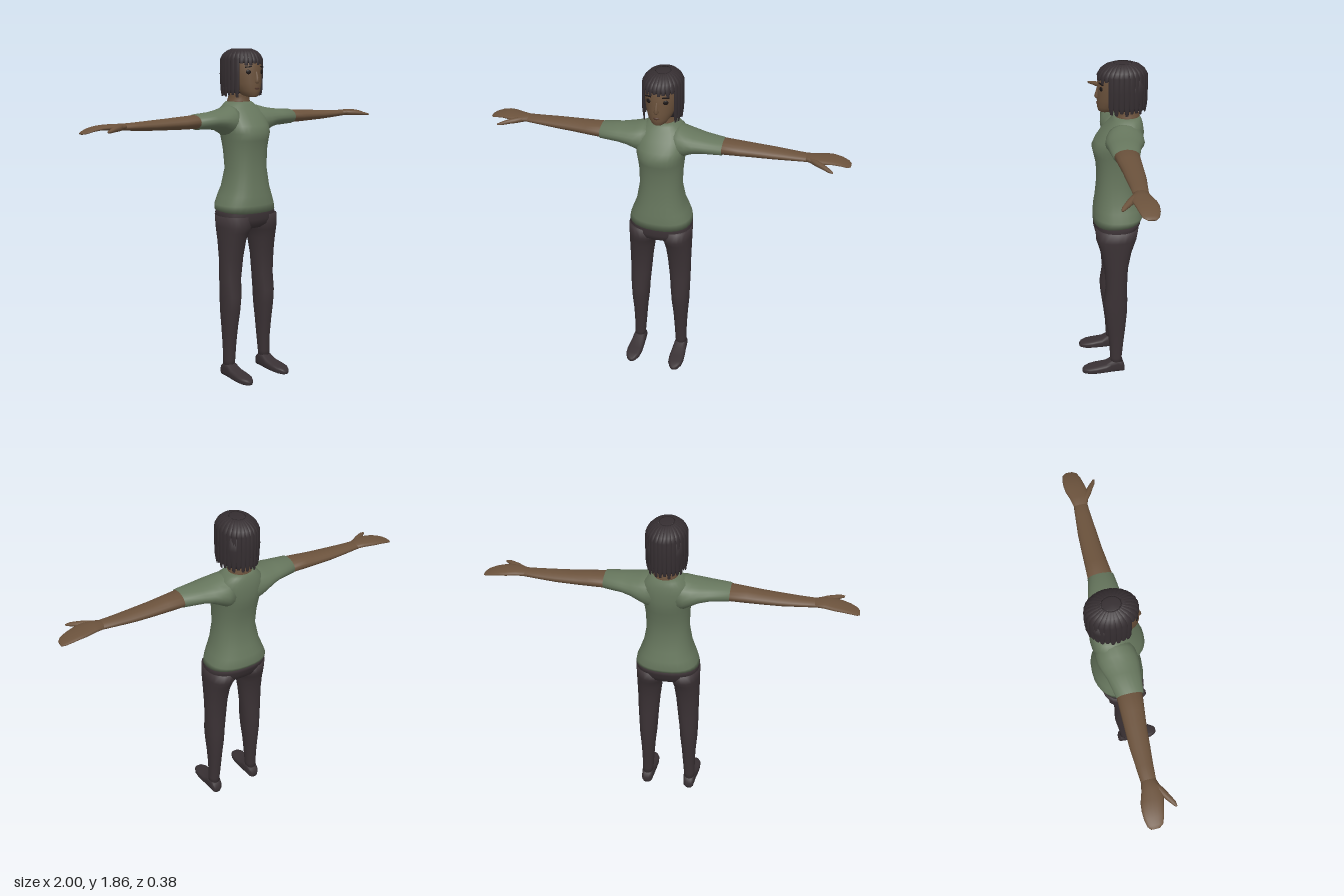
import * as THREE from 'three';

const mat = (name, color, side = THREE.FrontSide) => {
  const m = new THREE.MeshStandardMaterial({ color, side });
  m.name = name;
  return m;
};

// axis maps: (t along the axis, a, b) to a point
const UP = (t, a, b) => [a, t, b];     // a = x, b = z
const OUT = (t, a, b) => [t, b, a];    // a = z, b = y
const FORWARD = (t, a, b) => [b, a, t]; // a = y, b = x

// closed skin over rounded sections [t, a0, a1, b0, b1]; p < 1 gives boxier rings
function loft(sections, map = UP, n = 20, p = 1) {
  const pos = [], idx = [];
  const bend = v => Math.sign(v) * Math.abs(v) ** p;
  for (const [t, a0, a1, b0, b1] of sections) {
    for (let i = 0; i < n; i++) {
      const q = (i / n) * Math.PI * 2;
      pos.push(...map(t, (a0 + a1) / 2 + (a1 - a0) / 2 * bend(Math.cos(q)),
        (b0 + b1) / 2 + (b1 - b0) / 2 * bend(Math.sin(q))));
    }
  }
  const last = sections.length - 1;
  for (const s of [sections[0], sections[last]]) pos.push(...map(s[0], (s[1] + s[2]) / 2, (s[3] + s[4]) / 2));
  for (let i = 0; i < n; i++) {
    const j = (i + 1) % n;
    for (let k = 0; k < last; k++) {
      const a = k * n + i, b = k * n + j;
      idx.push(a, a + n, b, b, a + n, b + n);
    }
    idx.push((last + 1) * n, i, j, (last + 1) * n + 1, last * n + j, last * n + i);
  }
  const g = new THREE.BufferGeometry();
  g.setAttribute('position', new THREE.Float32BufferAttribute(pos, 3));
  g.setIndex(idx);
  g.computeVertexNormals();
  return g;
}

// mirrored copy across x with the corner order turned round
function mirrored(geo) {
  const g = geo.clone().scale(-1, 1, 1);
  const ix = g.index.array;
  for (let i = 0; i < ix.length; i += 3) [ix[i], ix[i + 1]] = [ix[i + 1], ix[i]];
  g.computeVertexNormals();
  return g;
}

export function createModel() {
  const model = new THREE.Group();
  model.name = 'standingWoman';
  const skin = mat('skin', 0x6b523c), shirt = mat('shirt green', 0x66765d);
  const trousers = mat('trousers charcoal', 0x3b3235), hair = mat('hair', 0x352e31);
  const shoe = mat('shoe', 0x393134), dark = mat('eye dark', 0x1d1716), lip = mat('lip', 0x573c30);

  const add = (name, geo, material, parent = model) => {
    const m = new THREE.Mesh(geo, material);
    m.name = name;
    parent.add(m);
    return m;
  };
  const pair = (name, geo, material) => {
    add(name + 'Left', geo, material);
    add(name + 'Right', mirrored(geo), material);
  };
  // symmetric section at height y: half width, back, front
  const s = (y, w, back, front) => [y, -w, w, back, front];

  // torso, with the hem rising toward the back
  const torso = loft([
    s(0.967, 0.178, -0.166, 0.108), s(1.0, 0.172, -0.175, 0.108), s(1.05, 0.153, -0.166, 0.104),
    s(1.1, 0.135, -0.147, 0.096), s(1.2, 0.117, -0.126, 0.086), s(1.3, 0.119, -0.14, 0.089),
    s(1.36, 0.125, -0.155, 0.102), s(1.4, 0.131, -0.165, 0.111), s(1.44, 0.138, -0.17, 0.092),
    s(1.49, 0.138, -0.171, 0.056), s(1.53, 0.118, -0.165, 0.02), s(1.553, 0.088, -0.157, -0.002),
    s(1.568, 0.068, -0.15, -0.013),
  ], UP, 28, 0.85);
  const tp = torso.attributes.position;
  for (let i = 0; i < tp.count; i++) if (tp.getY(i) < 0.98) tp.setY(i, tp.getY(i) - 0.08 * tp.getZ(i));
  torso.computeVertexNormals();
  add('shirtBody', torso, shirt);

  pair('sleeve', loft([
    [0.05, -0.16, 0.035, 1.36, 1.553], [0.1, -0.163, 0.045, 1.37, 1.548], [0.14, -0.16, 0.05, 1.395, 1.536],
    [0.18, -0.148, 0.048, 1.415, 1.527], [0.23, -0.13, 0.042, 1.425, 1.52], [0.335, -0.108, 0.03, 1.43, 1.513],
  ], OUT), shirt);

  pair('arm', loft([
    [0.3, -0.108, 0.028, 1.434, 1.511], [0.42, -0.106, 0.014, 1.435, 1.504], [0.5, -0.105, 0.005, 1.437, 1.499],
    [0.6, -0.103, -0.002, 1.44, 1.494], [0.7, -0.095, -0.01, 1.446, 1.489], [0.79, -0.088, -0.015, 1.452, 1.486],
  ], OUT, 16), skin);
  pair('hand', loft([
    [0.77, -0.088, -0.015, 1.452, 1.487], [0.82, -0.098, 0.002, 1.455, 1.488], [0.87, -0.114, 0.0, 1.458, 1.487],
    [0.91, -0.118, -0.009, 1.459, 1.483], [0.95, -0.116, -0.018, 1.454, 1.474],
    [0.985, -0.107, -0.03, 1.445, 1.461], [1.0, -0.093, -0.05, 1.443, 1.452],
  ], OUT, 16), skin);
  pair('thumb', loft([
    [0.79, -0.04, -0.012, 1.456, 1.484], [0.83, -0.025, 0.016, 1.453, 1.484], [0.865, -0.003, 0.035, 1.453, 1.479],
    [0.895, 0.022, 0.052, 1.452, 1.472], [0.92, 0.044, 0.056, 1.454, 1.463],
  ], OUT, 10), skin);

  // trousers
  add('trouserSeat', loft([
    s(0.868, 0.1, -0.1, 0.07), s(0.89, 0.165, -0.13, 0.098), s(0.92, 0.176, -0.143, 0.105),
    s(0.952, 0.178, -0.158, 0.106), s(0.975, 0.173, -0.162, 0.102),
  ], UP, 28, 0.85), trousers);
  pair('trouserLeg', loft([
    [0.06, 0.1, 0.164, -0.047, 0.022], [0.1, 0.097, 0.163, -0.045, 0.024], [0.2, 0.09, 0.163, -0.055, 0.03],
    [0.3, 0.083, 0.167, -0.066, 0.042], [0.4, 0.072, 0.174, -0.075, 0.056], [0.48, 0.067, 0.176, -0.077, 0.062],
    [0.58, 0.058, 0.178, -0.075, 0.047], [0.7, 0.047, 0.179, -0.08, 0.056], [0.8, 0.034, 0.18, -0.1, 0.075],
    [0.85, 0.022, 0.18, -0.118, 0.09], [0.88, 0.004, 0.18, -0.13, 0.1], [0.94, 0.0, 0.179, -0.14, 0.1],
  ], UP, 20, 0.9), trousers);
  pair('shoe', loft([
    [-0.06, 0, 0.035, 0.115, 0.152], [-0.05, 0, 0.065, 0.1, 0.163], [-0.02, 0, 0.088, 0.095, 0.167],
    [0.02, 0, 0.078, 0.092, 0.17], [0.05, 0, 0.058, 0.09, 0.174], [0.11, 0, 0.047, 0.088, 0.179],
    [0.15, 0, 0.04, 0.093, 0.176], [0.18, 0, 0.032, 0.11, 0.16], [0.19, 0.003, 0.022, 0.122, 0.147],
  ], FORWARD, 18, 0.6), shoe);

  // neck and head
  add('neck', loft([
    s(1.53, 0.075, -0.15, -0.01), s(1.575, 0.062, -0.148, -0.018), s(1.6, 0.056, -0.14, -0.02), s(1.66, 0.055, -0.13, -0.01),
  ]), skin);
  add('head', loft([
    s(1.598, 0.025, 0.005, 0.066), s(1.606, 0.04, -0.03, 0.074), s(1.63, 0.06, -0.08, 0.08), s(1.67, 0.077, -0.12, 0.08),
    s(1.72, 0.086, -0.14, 0.077), s(1.77, 0.088, -0.15, 0.075), s(1.81, 0.078, -0.145, 0.06), s(1.84, 0.045, -0.11, 0.02),
  ], UP, 24), skin);
  add('nose', loft([
    s(1.67, 0.009, 0.06, 0.084), s(1.681, 0.014, 0.06, 0.094), s(1.7, 0.009, 0.06, 0.089), s(1.735, 0.005, 0.06, 0.078),
  ], UP, 10), skin);
  add('mouth', loft([
    s(1.638, 0.009, 0.07, 0.0815), s(1.645, 0.02, 0.066, 0.083), s(1.65, 0.012, 0.07, 0.0825),
  ], UP, 10), lip);
  for (const [side, k] of [['Left', 1], ['Right', -1]]) {
    const eye = add('eye' + side, new THREE.SphereGeometry(0.014, 14, 10), dark);
    eye.scale.set(1, 0.9, 0.3);
    eye.position.set(k * 0.046, 1.733, 0.061);
    eye.rotation.y = k * 0.45;
    const brow = add('brow' + side, new THREE.BoxGeometry(0.036, 0.006, 0.008), dark);
    brow.position.set(k * 0.046, 1.76, 0.061);
    brow.rotation.set(0, k * 0.45, -k * 0.12);
  }

  // hair: solid core, then overlapping strands around it
  add('hairBack', loft([
    s(1.618, 0.09, -0.165, 0.005), s(1.66, 0.097, -0.174, 0.012), s(1.72, 0.1, -0.178, 0.015), s(1.79, 0.098, -0.175, 0.025),
  ], UP, 24, 0.8), hair);
  add('hairCrown', loft([
    s(1.782, 0.097, -0.17, 0.072), s(1.81, 0.095, -0.165, 0.068), s(1.835, 0.08, -0.14, 0.045),
    s(1.85, 0.058, -0.11, 0.015), s(1.856, 0.03, -0.08, -0.02),
  ], UP, 24, 0.85), hair);
  const strands = new THREE.Group();
  strands.name = 'hairStrands';
  model.add(strands);
  const count = 28;
  for (let i = 0; i < count; i++) {
    const a = ((i + 0.5) / count) * Math.PI * 2;
    const fringe = Math.cos(a) > 0.6;
    const end = (fringe ? 1.77 : 1.604) + 0.008 * Math.sin(i * 2.4);
    const strand = (y, r, w, th) => [y, -w, w, r - th, r + th * 0.6];
    const crown = [
      strand(1.8, 0.98, 0.12, 0.07), strand(1.825, 0.87, 0.11, 0.07),
      strand(1.846, 0.67, 0.095, 0.07), strand(1.858, 0.4, 0.06, 0.07),
    ];
    const fall = fringe
      ? [strand(end, 1.0, 0.07, 0.03)]
      : [strand(end, 0.95, 0.06, 0.03), strand(1.64, 0.98, 0.115, 0.06), strand(1.72, 0.99, 0.125, 0.07)];
    const g = loft([...fall, ...crown], UP, 8, 0.8);
    g.rotateY(a).scale(0.106, 1, 0.131).translate(0, 0, -0.055);
    g.computeVertexNormals();
    add('hairStrand' + (i + 1), g, hair, strands);
  }
  return model;
}
